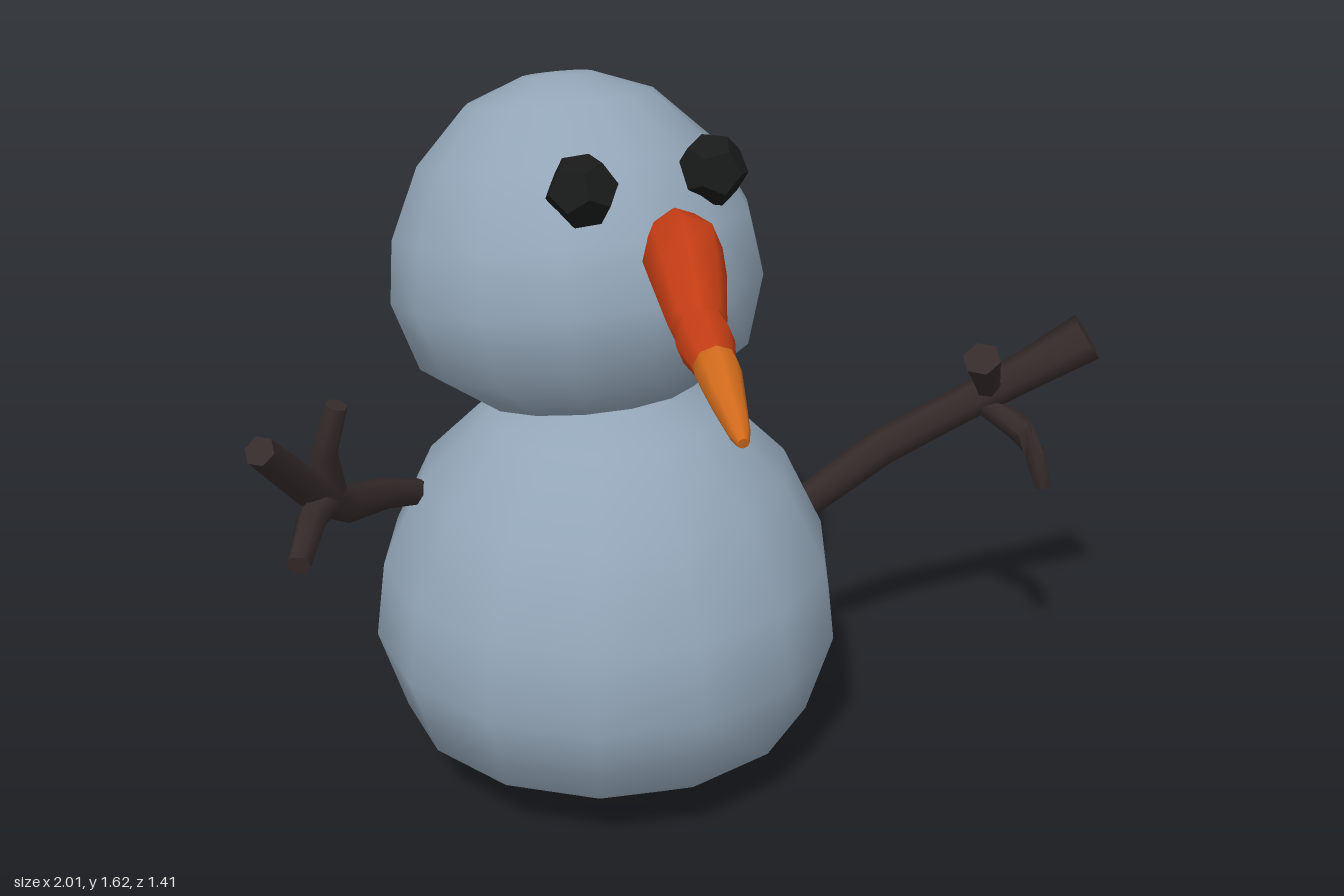
import * as THREE from 'three';
import { toCreasedNormals } from 'three/addons/utils/BufferGeometryUtils.js';

const material = (color) => new THREE.MeshStandardMaterial({ color, roughness: 0.85 });

function addMesh(parent, name, geometry, mat) {
  const mesh = new THREE.Mesh(geometry, mat);
  mesh.name = name;
  parent.add(mesh);
  return mesh;
}

// Capped limb through stations [x, y, z, radius], with averaged directions at the bends
function limb(stations, sides, crease) {
  const centres = stations.map(([x, y, z]) => new THREE.Vector3(x, y, z));
  const last = stations.length - 1;
  const positions = [];
  const index = [];
  const addRing = (i, radius) => {
    const t = centres[Math.min(i + 1, last)].clone().sub(centres[Math.max(i - 1, 0)]).normalize();
    const ref = Math.abs(t.y) > 0.85 ? new THREE.Vector3(0, 0, 1) : new THREE.Vector3(0, 1, 0);
    const u = ref.cross(t).normalize();
    const v = t.clone().cross(u);
    for (let j = 0; j < sides; j++) {
      const a = (j / sides) * Math.PI * 2;
      const p = centres[i].clone()
        .addScaledVector(u, Math.cos(a) * radius)
        .addScaledVector(v, Math.sin(a) * radius);
      positions.push(p.x, p.y, p.z);
    }
  };
  addRing(0, 0);
  stations.forEach((s, i) => addRing(i, s[3]));
  addRing(last, 0);
  for (let i = 0; i < stations.length + 1; i++) {
    for (let j = 0; j < sides; j++) {
      const k = (j + 1) % sides;
      const a = i * sides + j, b = i * sides + k;
      const c = a + sides, d = b + sides;
      if (i > 0) index.push(a, b, d);
      if (i === 0) index.push(a, d, c);
      else if (i < stations.length) index.push(a, d, c);
    }
  }
  const geometry = new THREE.BufferGeometry();
  geometry.setAttribute('position', new THREE.Float32BufferAttribute(positions, 3));
  geometry.setIndex(index);
  return toCreasedNormals(geometry, crease);
}

export function createModel() {
  const model = new THREE.Group();
  model.name = 'snowman';
  const snow = material(0x93a6b8);
  const wood = material(0x352b2a);
  const coal = material(0x191a1a);

  // Snowballs: one squat, low-sided profile used for both
  const profile = [
    [0, 0.004], [0.16, 0.012], [0.31, 0.05], [0.48, 0.17], [0.54, 0.37],
    [0.515, 0.55], [0.42, 0.75], [0.27, 0.9], [0.1, 0.965], [0, 0.972],
  ].map(([r, y]) => new THREE.Vector2(r, y));
  const ball = new THREE.LatheGeometry(profile, 14);
  addMesh(model, 'body', ball, snow).position.set(-0.125, 0, -0.12);

  // Head leans back
  const head = addMesh(model, 'head', ball, snow);
  head.position.set(-0.125, 0.867, -0.2);
  head.rotation.x = -0.22;
  head.scale.set(0.78, 0.78, 0.83);

  // Eyes: faceted lumps of coal
  const lump = new THREE.DodecahedronGeometry(0.078);
  [['rightEye', -0.235, 1.475, 0.045], ['leftEye', 0.075, 1.468, 0.015]].forEach(([name, x, y, z], i) => {
    const eye = addMesh(model, name, lump, coal);
    eye.position.set(x, y, z);
    eye.rotation.set(-0.45, i ? 0.35 : -0.2, i * 0.5);
  });

  // Bumpy bent carrot, paler toward the tip
  const nose = new THREE.Group();
  nose.name = 'nose';
  model.add(nose);
  addMesh(nose, 'noseRoot', limb([
    [-0.035, 1.36, 0.06, 0.06], [-0.05, 1.345, 0.13, 0.088], [-0.075, 1.32, 0.22, 0.08],
    [-0.115, 1.275, 0.35, 0.06], [-0.12, 1.272, 0.37, 0.053], [-0.13, 1.262, 0.42, 0.06],
    [-0.14, 1.245, 0.48, 0.045],
  ], 8, 0.9), material(0xc23c14));
  addMesh(nose, 'noseTip', limb([
    [-0.14, 1.245, 0.48, 0.045], [-0.145, 1.238, 0.51, 0.047], [-0.16, 1.215, 0.58, 0.037],
    [-0.178, 1.186, 0.67, 0.022], [-0.184, 1.178, 0.7, 0.012],
  ], 8, 0.9), material(0xd06a1c));

  // Forked stick arms: a main branch and two twigs each
  const arms = {
    leftArm: [
      [[0.395, 0.56, -0.1, 0.04], [0.56, 0.69, -0.05, 0.045], [0.72, 0.8, 0.03, 0.043],
        [0.84, 0.89, 0.1, 0.047], [0.97, 0.985, 0.165, 0.058]],
      [[0.78, 0.84, 0.06, 0.03], [0.745, 0.89, 0.1, 0.032], [0.705, 0.965, 0.135, 0.045]],
      [[0.76, 0.82, 0.06, 0.028], [0.83, 0.76, 0.13, 0.032], [0.86, 0.7, 0.15, 0.026],
        [0.882, 0.615, 0.165, 0.02]],
    ],
    rightArm: [
      [[-0.535, 0.725, -0.22, 0.03], [-0.64, 0.775, -0.15, 0.036], [-0.76, 0.825, -0.04, 0.042],
        [-0.85, 0.92, 0.05, 0.038], [-0.975, 1.09, 0.175, 0.033]],
      [[-0.79, 0.86, -0.01, 0.034], [-0.81, 0.98, 0.02, 0.03], [-0.78, 1.095, 0.04, 0.024]],
      [[-0.8, 0.87, 0.0, 0.032], [-0.87, 0.89, 0.12, 0.032], [-0.935, 0.86, 0.245, 0.025]],
    ],
  };
  for (const [name, branches] of Object.entries(arms)) {
    const arm = new THREE.Group();
    arm.name = name;
    model.add(arm);
    branches.forEach((stations, i) =>
      addMesh(arm, i ? 'twig' : 'branch', limb(stations, 6, 1.1), wood));
  }
  return model;
}
